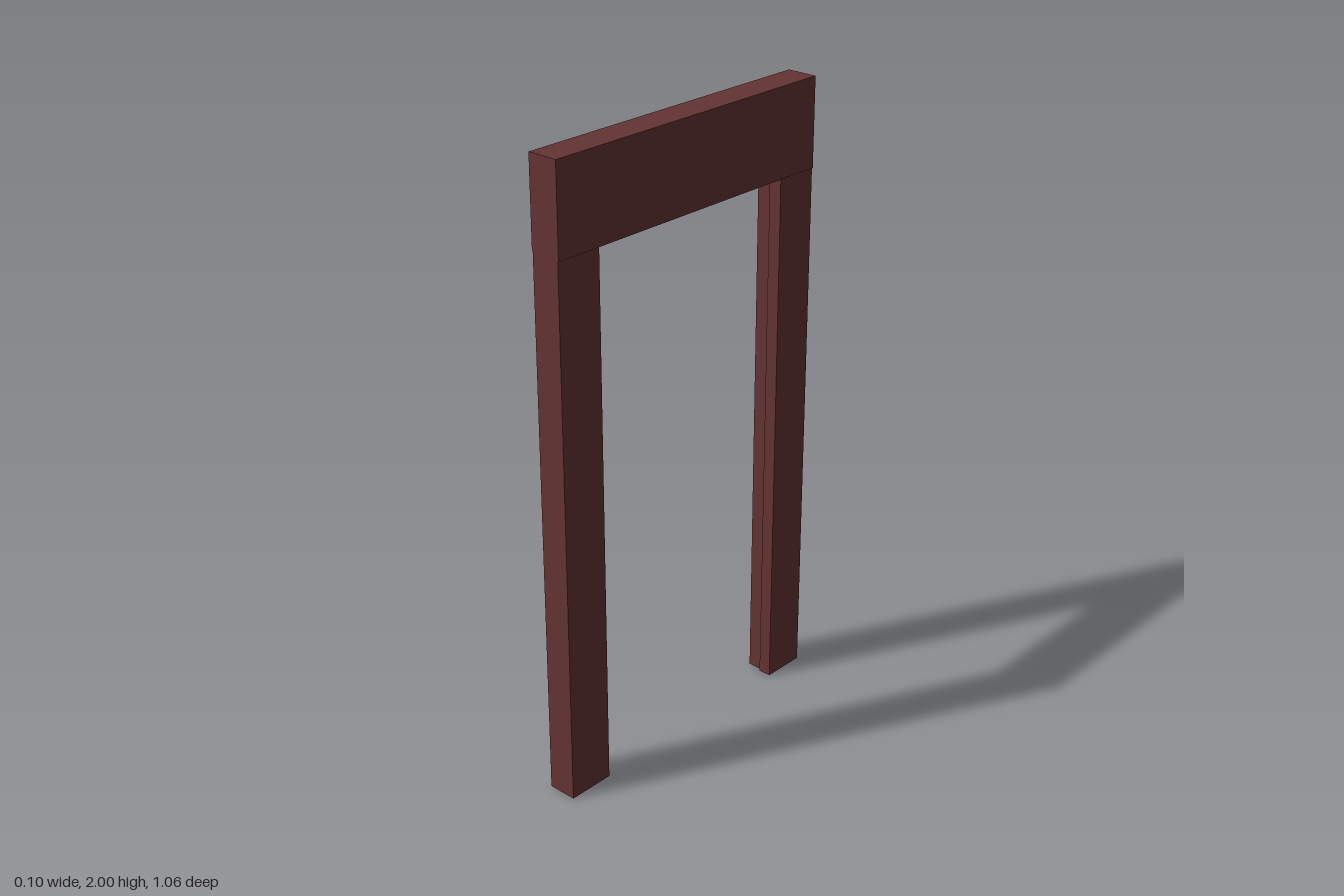
import * as THREE from 'three';

const HALF_LENGTH = 0.53; // outer reach along z
const STEP_X = 0.005; // where the rebate begins
const REBATE = 0.01; // rebate depth on the -x half

// Prism with a given [u, v] outline, extruded along +z
function prism(points, depth) {
  const shape = new THREE.Shape(points.map(([u, v]) => new THREE.Vector2(u, v)));
  return new THREE.ExtrudeGeometry(shape, { depth, bevelEnabled: false });
}

export function createModel() {
  const group = new THREE.Group();
  group.name = 'doorFrame';
  const wood = new THREE.MeshStandardMaterial({ color: 0x653434 });
  wood.name = 'dark red wood';

  const add = (name, geometry) => {
    const mesh = new THREE.Mesh(geometry, wood);
    mesh.name = name;
    group.add(mesh);
    return mesh;
  };

  // Posts: stepped section, the -x half set back from the opening
  const w = 0.047;
  const addPost = (name, side, inner) => {
    const outline = [
      [-w, HALF_LENGTH], [-w, inner + REBATE], [STEP_X, inner + REBATE],
      [STEP_X, inner], [w, inner], [w, HALF_LENGTH],
    ].map(([x, z]) => [x, -side * z]);
    add(name, prism(outline, 1.73).rotateX(-Math.PI / 2));
  };
  addPost('frontPost', 1, 0.375);
  addPost('backPost', -1, 0.385);

  // Lintel: slightly wider than the posts, with the same rebate underneath
  const lw = 0.05;
  const lintel = prism([
    [-lw, 2], [-lw, 1.72 + REBATE], [STEP_X, 1.72 + REBATE],
    [STEP_X, 1.72], [lw, 1.72], [lw, 2],
  ], HALF_LENGTH * 2);
  add('lintel', lintel.translate(0, 0, -HALF_LENGTH));

  return group;
}
